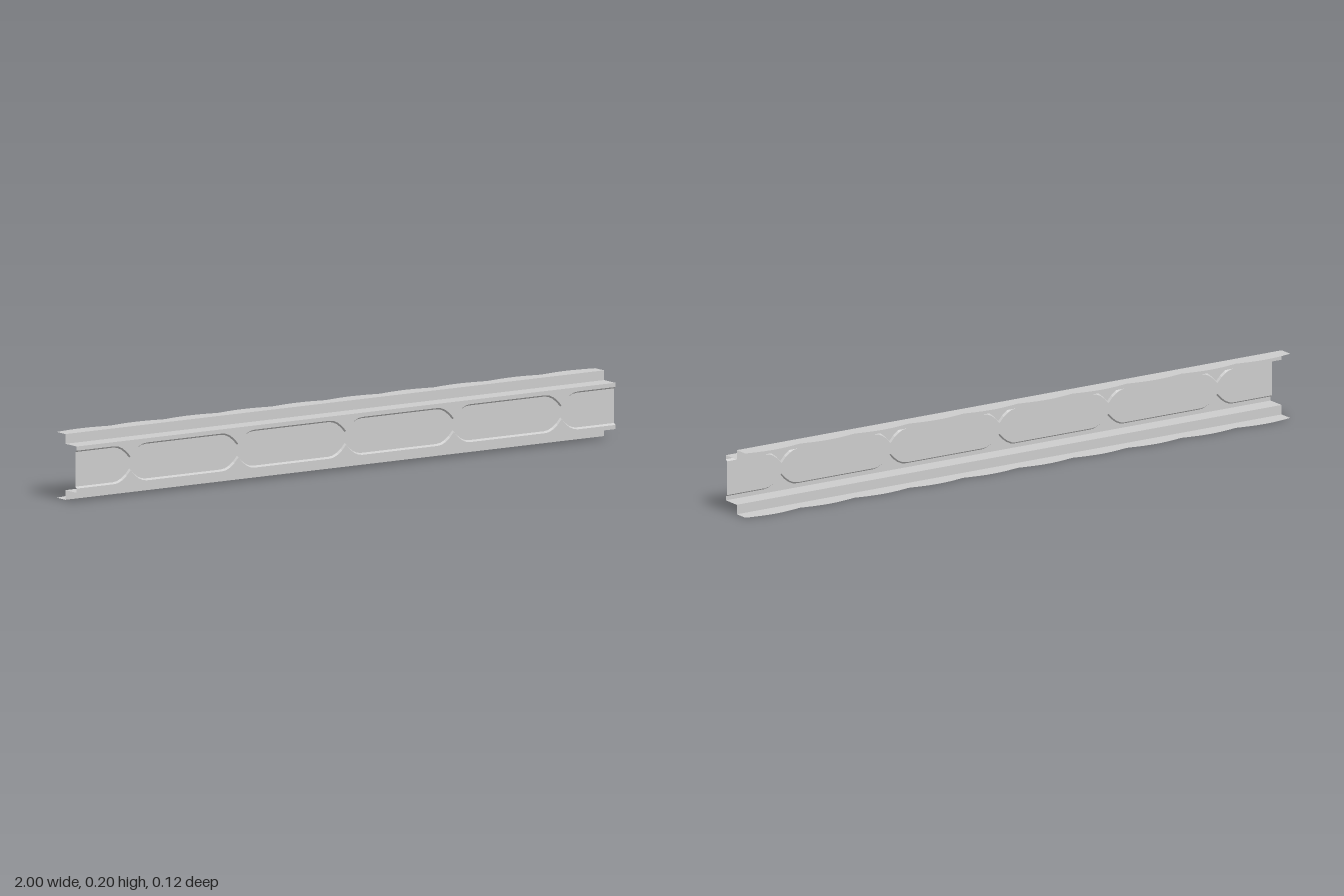
import * as THREE from 'three';

const HEIGHT = 0.203, MID = HEIGHT / 2;
const FRONT = 0.06, RECESS = 0.053; // z of the web rim and of its sunk panel
const WEB_HALF = 0.0715, PANEL_HALF = 0.0585;

const material = new THREE.MeshStandardMaterial({
  color: 0xcccccc, side: THREE.DoubleSide, flatShading: true,
});

// Sheet lofted along x: section(x) returns the [y, z] corners from top to bottom.
function sheet(name, stations, section) {
  const pos = [];
  for (let i = 0; i < stations.length - 1; i++) {
    const [x0, x1] = [stations[i], stations[i + 1]];
    const [s0, s1] = [section(x0), section(x1)];
    for (let j = 0; j < s0.length - 1; j++) {
      const a = [x0, ...s0[j]], b = [x0, ...s0[j + 1]];
      const c = [x1, ...s1[j + 1]], d = [x1, ...s1[j]];
      pos.push(...a, ...b, ...c, ...a, ...c, ...d);
    }
  }
  const geometry = new THREE.BufferGeometry();
  geometry.setAttribute('position', new THREE.Float32BufferAttribute(pos, 3));
  geometry.computeVertexNormals();
  const mesh = new THREE.Mesh(geometry, material);
  mesh.name = name;
  return mesh;
}

// Pointed tabs that reach from the rim into the panel
const tabCentres = [-0.8, -0.4, 0, 0.4, 0.8];
const tabDepth = (x) => {
  const d = Math.min(...tabCentres.map((c) => Math.abs(x - c)));
  return d < 0.06 ? 0.037 * (1 - d / 0.06) ** 2 : 0;
};

// Scalloped back edge of the lips, ten waves along the beam
const scallop = (x) => -0.047 - 0.013 * Math.abs(Math.sin(Math.PI * (x + 1) * 5));

export function createModel() {
  const group = new THREE.Group();
  group.name = 'beam';

  // Web with its recessed panel
  const offsets = [-0.06, -0.045, -0.03, -0.015, 0, 0.015, 0.03, 0.045, 0.06];
  const webX = [-1, ...tabCentres.flatMap((c) => offsets.map((o) => c + o)), 1];
  group.add(sheet('web', webX, (x) => {
    const edge = PANEL_HALF - tabDepth(x);
    return [
      [MID + WEB_HALF, FRONT],
      [MID + edge, FRONT],
      [MID + edge - 0.005, RECESS],
      [MID - edge + 0.005, RECESS],
      [MID - edge, FRONT],
      [MID - WEB_HALF, FRONT],
    ];
  }));

  // Stepped flanges with scalloped lips, mirrored top and bottom
  const lipX = Array.from({ length: 101 }, (_, i) => -1 + i * 0.02);
  for (const [side, s] of [['top', 1], ['bottom', -1]]) {
    const step = [
      [MID + s * MID, 0],
      [MID + s * WEB_HALF, 0],
      [MID + s * WEB_HALF, FRONT],
    ];
    const lip = (x) => [[MID + s * MID, scallop(x)], [MID + s * MID, 0]];
    group.add(sheet(side + 'Flange', [-1, 1], () => (s > 0 ? step : [...step].reverse())));
    group.add(sheet(side + 'Lip', lipX, (x) => (s > 0 ? lip(x) : lip(x).reverse())));
  }
  return group;
}
